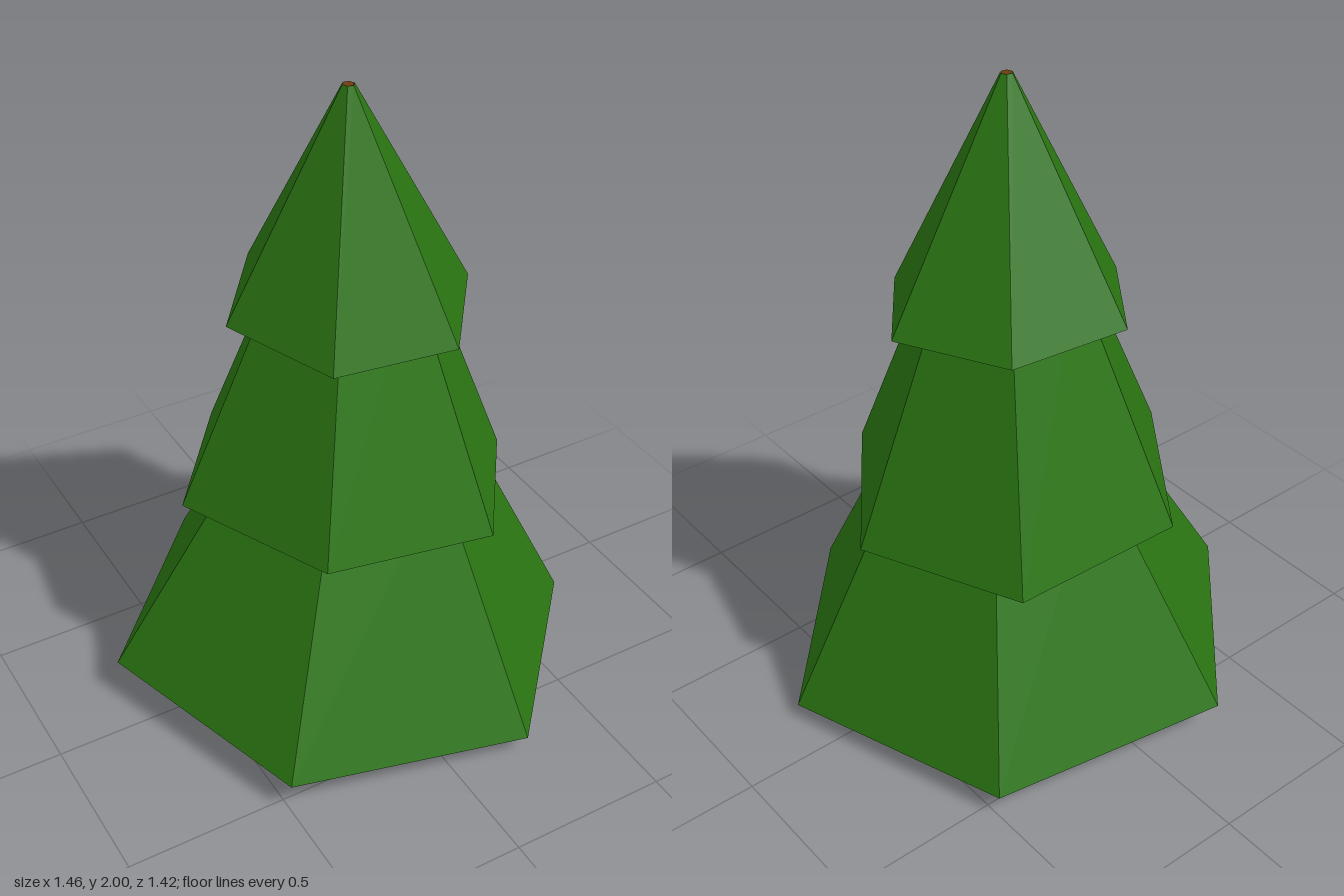
import * as THREE from 'three';

const SIDES = 6;

// Ring of corners on a plane tilted by (slopeX, slopeZ)
function ring(center, radius, degrees, slopeX = 0, slopeZ = 0) {
  return Array.from({ length: SIDES }, (_, i) => {
    const a = THREE.MathUtils.degToRad(degrees + i * 360 / SIDES);
    const dx = Math.cos(a) * radius, dz = Math.sin(a) * radius;
    return new THREE.Vector3(center.x + dx, center.y + dx * slopeX + dz * slopeZ, center.z + dz);
  });
}

// Closed faceted solid between two rings
function loft(bottom, top, bottomCenter, topCenter, capTop) {
  const points = [];
  for (let i = 0; i < SIDES; i++) {
    const j = (i + 1) % SIDES;
    points.push(bottom[j], bottom[i], top[i], bottom[j], top[i], top[j]);
    points.push(bottomCenter, bottom[i], bottom[j]);
    if (capTop) points.push(topCenter, top[j], top[i]);
  }
  const geometry = new THREE.BufferGeometry().setFromPoints(points);
  geometry.computeVertexNormals();
  return geometry;
}

export function createModel() {
  const group = new THREE.Group();
  const V = (x, y, z) => new THREE.Vector3(x, y, z);
  const needles = new THREE.MeshStandardMaterial({ color: 0x2a7412 });
  needles.name = 'needleGreen';
  const bark = new THREE.MeshStandardMaterial({ color: 0x6b3d10 });
  bark.name = 'barkBrown';

  const add = (name, geometry, material) => {
    const mesh = new THREE.Mesh(geometry, material);
    mesh.name = name;
    group.add(mesh);
  };

  // Trunk runs to the tip, where its end shows
  const foot = V(0.01, 0, 0.005), tip = V(-0.005, 2, 0.03);
  add('trunk', loft(ring(foot, 0.094, 8), ring(tip, 0.017, 8), foot, tip, true), bark);

  // Tilted branch tiers; each narrows toward its apex and stops at "cut" of the way
  const tiers = [
    { name: 'lowerBranches', center: V(0, 0.088, 0), radius: 0.747, turn: 12, slope: [-0.048, -0.016], apex: V(0.06, 1.46, 0.02), cut: 0.56, cap: true },
    { name: 'middleBranches', center: V(0.0125, 0.687, -0.0125), radius: 0.53, turn: 5.7, slope: [-0.083, 0.036], apex: V(0.027, 1.98, 0.005), cut: 0.6, cap: true },
    { name: 'upperBranches', center: V(0.02, 1.31, -0.002), radius: 0.377, turn: 7.1, slope: [0, -0.06], apex: V(-0.006, 2.035, 0.032), cut: 0.952, cap: false },
  ];
  for (const t of tiers) {
    const bottom = ring(t.center, t.radius, t.turn, ...t.slope);
    const top = bottom.map(p => p.clone().lerp(t.apex, t.cut));
    const topCenter = t.center.clone().lerp(t.apex, t.cut);
    add(t.name, loft(bottom, top, t.center, topCenter, t.cap), needles);
  }
  return group;
}
